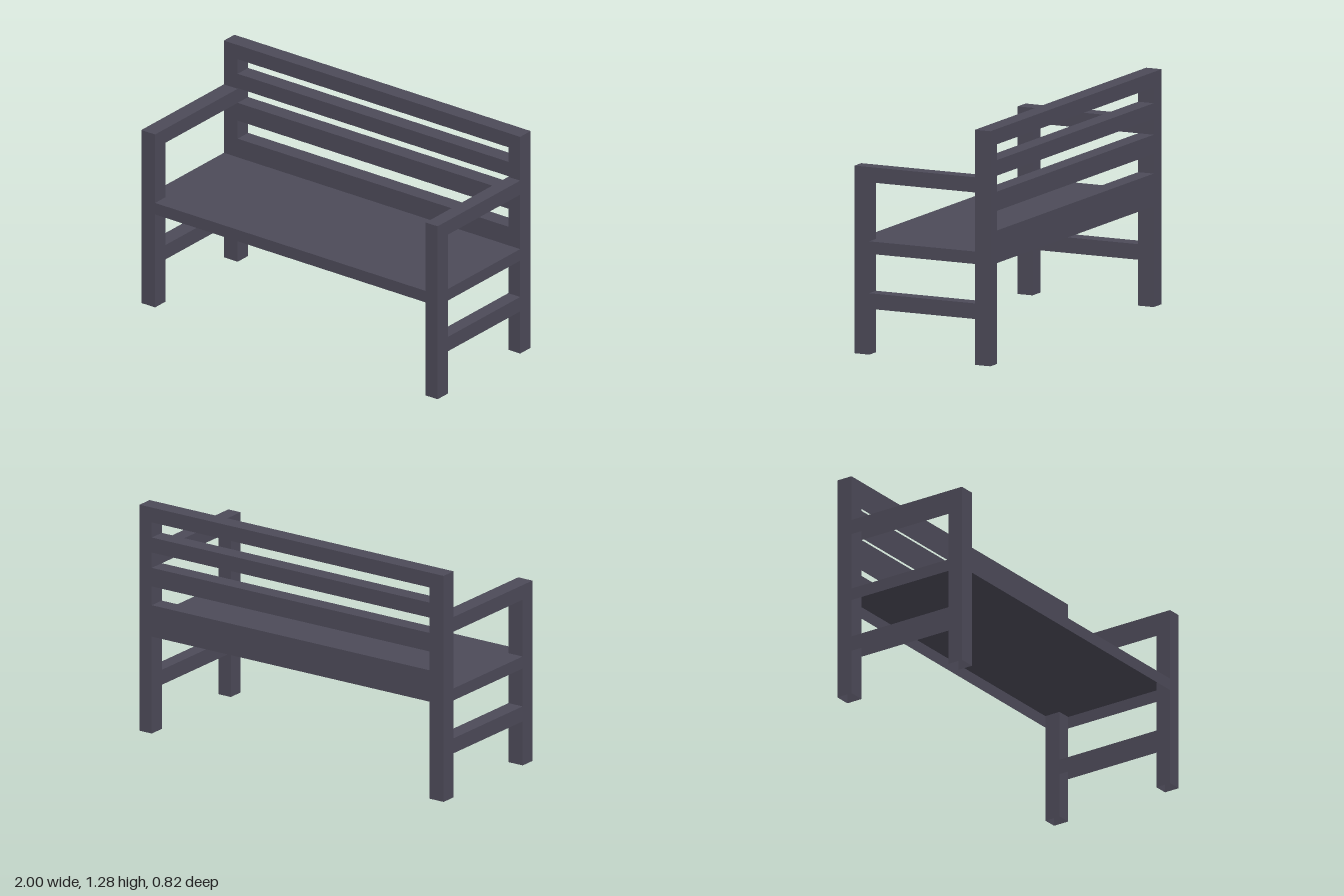
import * as THREE from 'three';

const paint = new THREE.MeshStandardMaterial({ color: 0x4c4a58, side: THREE.DoubleSide });
paint.name = 'dark slate paint';

// Hollow board given by its min/max bounds, open underneath
function board(name, x0, x1, y0, y1, z0, z1) {
  const geo = new THREE.BoxGeometry(x1 - x0, y1 - y0, z1 - z0);
  const idx = Array.from(geo.index.array);
  idx.splice(18, 6); // drop the bottom face
  geo.setIndex(idx);
  geo.clearGroups();
  const mesh = new THREE.Mesh(geo, paint);
  mesh.name = name;
  mesh.position.set((x0 + x1) / 2, (y0 + y1) / 2, (z0 + z1) / 2);
  return mesh;
}

export function createModel() {
  const bench = new THREE.Group();
  bench.name = 'bench';

  const depth = 0.41;      // half depth
  const frontIn = 0.32;    // inner face of the front legs
  const backIn = -0.317;   // front face of the backrest
  const innerRight = -0.907, innerLeft = 0.92;

  // End frames: legs, armrest and stretcher
  for (const [side, x0, x1] of [['right', -1, innerRight], ['left', innerLeft, 1]]) {
    const frame = new THREE.Group();
    frame.name = side + 'EndFrame';
    frame.add(
      board('frontLeg', x0, x1, 0, 1.023, frontIn, depth),
      board('backPost', x0, x1, 0, 1.282, -depth, backIn),
      board('armrest', x0, x1, 0.94, 1.023, backIn, frontIn),
      board('stretcher', x0, x1, 0.25, 0.335, backIn, frontIn),
    );
    bench.add(frame);
  }

  // Seat shell, flush with the outside of the legs
  bench.add(board('seat', -1, 1, 0.55, 0.618, -depth, depth));

  // Horizontal backrest boards
  const backrest = new THREE.Group();
  backrest.name = 'backrest';
  for (const [y0, y1] of [[0.618, 0.728], [0.835, 0.94], [1.027, 1.112], [1.198, 1.282]]) {
    backrest.add(board('backSlat', innerRight, innerLeft, y0, y1, -depth, backIn));
  }
  bench.add(backrest);

  return bench;
}
